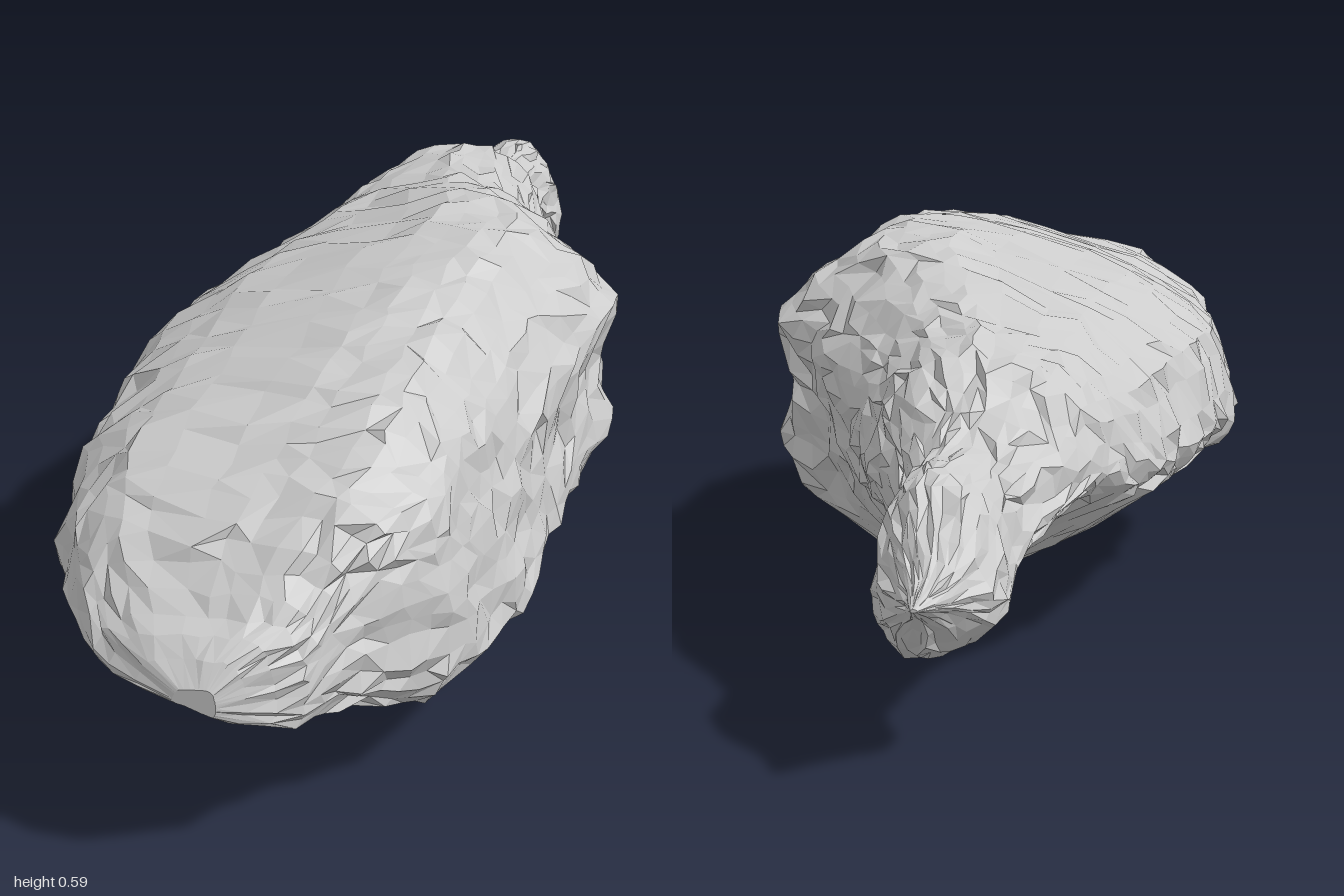
import * as THREE from 'three';

// Stations along the rock: z, xMin, xMax, yBottom, yTop
const STATIONS = [
  [1, -0.03, 0.03, 0.25, 0.29], [0.96, -0.12, 0.08, 0.215, 0.335], [0.92, -0.165, 0.13, 0.198, 0.355],
  [0.85, -0.225, 0.17, 0.195, 0.41], [0.78, -0.26, 0.225, 0.16, 0.465], [0.7, -0.3, 0.28, 0.115, 0.487],
  [0.6, -0.33, 0.3, 0.07, 0.53], [0.47, -0.355, 0.322, 0.012, 0.552], [0.35, -0.36, 0.328, 0.01, 0.567],
  [0.2, -0.362, 0.342, 0, 0.583], [0.05, -0.335, 0.362, 0.01, 0.583], [-0.03, -0.32, 0.36, 0.02, 0.57],
  [-0.1, -0.3, 0.305, 0.04, 0.555], [-0.2, -0.28, 0.268, 0.075, 0.535], [-0.3, -0.25, 0.215, 0.13, 0.51],
  [-0.4, -0.215, 0.178, 0.185, 0.5], [-0.5, -0.185, 0.15, 0.22, 0.485], [-0.6, -0.155, 0.105, 0.235, 0.425],
  [-0.68, -0.115, 0.085, 0.22, 0.385], [-0.75, -0.085, 0.09, 0.18, 0.385], [-0.82, -0.085, 0.105, 0.12, 0.38],
  [-0.88, -0.075, 0.085, 0.155, 0.33], [-0.94, -0.025, 0.045, 0.21, 0.275], [-1, 0.02, 0.03, 0.24, 0.245],
];

// Cross-sections in 0..1 units, clockwise from the left edge, each at its own z
const SECTIONS = [
  // Nose: hollow below on the left, sharp low corner on the right
  [0.76, [[0, 0.45], [0.05, 0.72], [0.18, 0.9], [0.55, 0.98], [0.8, 1], [0.93, 0.9], [0.97, 0.7],
    [1, 0.45], [0.99, 0.16], [0.92, 0], [0.67, 0.1], [0.4, 0.27], [0.08, 0.36]]],
  // Body: steep right flank over a keel
  [0.46, [[0, 0.43], [0.06, 0.69], [0.25, 0.86], [0.6, 0.99], [0.79, 1], [0.91, 0.86], [0.95, 0.65],
    [0.98, 0.45], [1, 0.27], [0.84, 0.13], [0.63, 0], [0.37, 0.15], [0.03, 0.36]]],
  // Belly: projecting right shoulder
  [0.02, [[0, 0.47], [0.06, 0.69], [0.25, 0.85], [0.6, 1], [0.77, 1], [0.91, 0.89], [1, 0.79],
    [0.96, 0.6], [1, 0.45], [0.95, 0.3], [0.62, 0], [0.35, 0.17], [0.05, 0.38]]],
  // Haunch: undercut on the right
  [-0.2, [[0, 0.44], [0.08, 0.69], [0.27, 0.87], [0.58, 1], [0.75, 0.98], [0.91, 0.86], [1, 0.72],
    [0.96, 0.55], [0.92, 0.36], [0.82, 0.15], [0.62, 0], [0.33, 0.12], [0.05, 0.34]]],
  // Tail: rounder with a broad underside
  [-0.42, [[0, 0.4], [0.1, 0.7], [0.3, 0.9], [0.55, 1], [0.72, 0.97], [0.86, 0.84], [0.95, 0.66],
    [1, 0.42], [0.96, 0.2], [0.84, 0.07], [0.6, 0], [0.32, 0.08], [0.06, 0.25]]],
];

// Finds the two table rows around z (rows run from high z to low) and the blend between them
function bracket(rows, z) {
  let k = 0;
  while (k < rows.length - 2 && rows[k + 1][0] > z) k++;
  const a = rows[k], b = rows[k + 1];
  return [a, b, THREE.MathUtils.clamp((a[0] - z) / (a[0] - b[0]), 0, 1)];
}

function outlineAt(z, sides) {
  const [sa, sb, st] = bracket(SECTIONS, z);
  const [a, b, t] = bracket(STATIONS, z);
  const [, x0, x1, y0, y1] = a.map((v, i) => THREE.MathUtils.lerp(v, b[i], t));
  const corners = sa[1].map(([u, v], i) => new THREE.Vector3(
    THREE.MathUtils.lerp(x0, x1, THREE.MathUtils.lerp(u, sb[1][i][0], st)),
    THREE.MathUtils.lerp(y0, y1, THREE.MathUtils.lerp(v, sb[1][i][1], st)), z));
  return new THREE.CatmullRomCurve3(corners, true, 'catmullrom', 0.25).getPoints(sides).slice(0, sides);
}

function seededRandom(seed) {
  return () => {
    seed = (seed * 1664525 + 1013904223) >>> 0;
    return seed / 4294967296;
  };
}

function rockGeometry(rings = 58, sides = 39) {
  const random = seededRandom(17);
  const jitter = () => random() - 0.5;
  const positions = [], indices = [];
  for (let i = 0; i <= rings; i++) {
    // Rings sit closer together near the two tips
    const s = 1 - 2 * i / rings;
    const z = 0.75 * s + 0.25 * Math.sin(s * Math.PI / 2);
    const outline = outlineAt(z, sides);
    const center = outline.reduce((sum, p) => sum.add(p), new THREE.Vector3()).divideScalar(sides);
    const rough = 0.03 * Math.min(1, (1 - Math.abs(z)) / 0.15);
    outline.forEach((p, j) => {
      // Broad lumps plus small chips, pushed in or out from the middle of the ring
      const angle = j / sides * Math.PI * 2;
      const lump = 0.01 * Math.sin(angle * 5 + z * 13) * Math.sin(z * 21 + angle * 2);
      p.sub(center).multiplyScalar(1 + lump + 0.04 * jitter()).add(center);
      positions.push(
        p.x + 0.35 * rough * jitter(),
        Math.max(0, p.y + 0.35 * rough * jitter()),
        p.z + rough * jitter()
      );
    });
  }
  for (let i = 0; i < rings; i++) {
    for (let j = 0; j < sides; j++) {
      const a = i * sides + j, b = i * sides + (j + 1) % sides, c = a + sides, d = b + sides;
      // Mixed diagonals keep the facets irregular
      if (random() < 0.5) indices.push(a, b, c, b, d, c);
      else indices.push(a, b, d, a, d, c);
    }
  }
  // Close both tips
  const last = rings * sides;
  for (let j = 1; j < sides - 1; j++) {
    indices.push(0, j + 1, j, last, last + j, last + j + 1);
  }
  const geometry = new THREE.BufferGeometry();
  geometry.setAttribute('position', new THREE.Float32BufferAttribute(positions, 3));
  geometry.setIndex(indices);
  geometry.computeVertexNormals();
  return geometry;
}

export function createModel() {
  const group = new THREE.Group();
  group.name = 'rock';
  const material = new THREE.MeshStandardMaterial({ color: 0xcccccc, flatShading: true });
  const rock = new THREE.Mesh(rockGeometry(), material);
  rock.name = 'rockBody';
  group.add(rock);
  return group;
}
